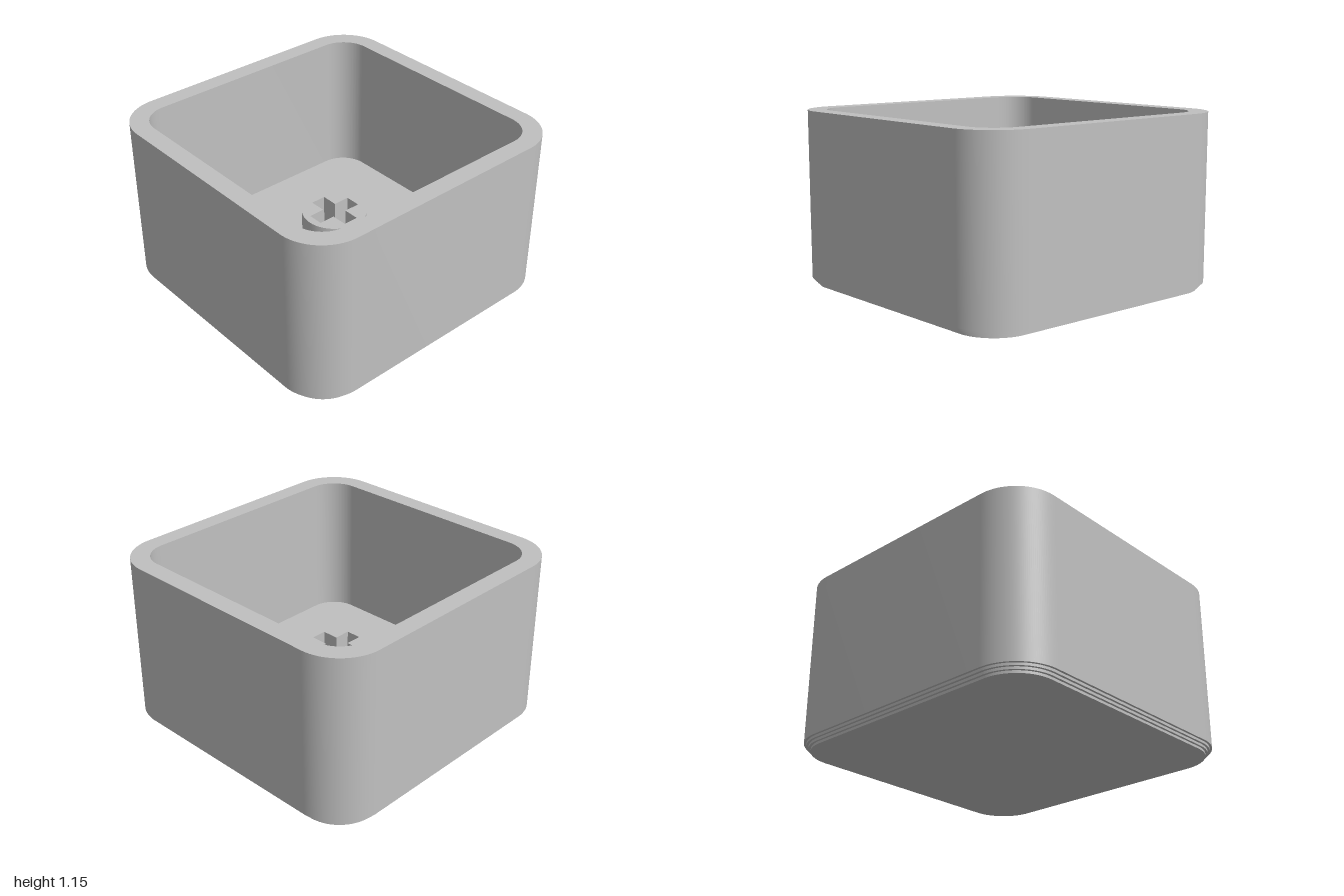
import * as THREE from 'three';
import { toCreasedNormals } from 'three/addons/utils/BufferGeometryUtils.js';

// Rounded square centred on the origin
function roundedSquare(half, r, Type = THREE.Shape) {
  const s = new Type();
  const k = half - r;
  s.moveTo(k, -half);
  s.absarc(k, -k, r, -Math.PI / 2, 0);
  s.absarc(k, k, r, 0, Math.PI / 2);
  s.absarc(-k, k, r, Math.PI / 2, Math.PI);
  s.absarc(-k, -k, r, Math.PI, Math.PI * 1.5);
  s.closePath();
  return s;
}

// Plus-shaped outline
function cross(reach, w) {
  return new THREE.Path([
    [w, w], [reach, w], [reach, -w], [w, -w], [w, -reach], [-w, -reach],
    [-w, -w], [-reach, -w], [-reach, w], [-w, w], [-w, reach], [w, reach],
  ].map(([x, y]) => new THREE.Vector2(x, y))).closePath();
}

export function createModel() {
  const group = new THREE.Group();
  group.name = 'keycap';
  const grey = new THREE.MeshStandardMaterial({ color: 0xc0c0c0 });
  grey.name = 'grey';

  // Extrude a plan shape upwards from y0 to y1
  const slab = (name, shape, y0, y1) => {
    const extruded = new THREE.ExtrudeGeometry(shape, {
      depth: y1 - y0, bevelEnabled: false, curveSegments: 20,
    });
    extruded.rotateX(-Math.PI / 2).translate(0, y0, 0);
    const mesh = new THREE.Mesh(toCreasedNormals(extruded, 0.5), grey);
    mesh.name = name;
    group.add(mesh);
  };

  const step = 0.016, base = 3 * step, floor = 0.19, top = 1.155;

  // Stepped chamfer under the base
  for (let i = 0; i < 3; i++) {
    const inset = 0.015 * (3 - i);
    slab(`baseStep${i + 1}`, roundedSquare(1 - inset, 0.3 - inset), i * step, (i + 1) * step);
  }

  // Outer walls with open top
  const wall = roundedSquare(1, 0.3);
  wall.holes.push(roundedSquare(0.88, 0.19, THREE.Path));
  slab('walls', wall, base, top);

  // Interior floor
  slab('floor', roundedSquare(0.88, 0.19), base, floor);

  // Central round stem with a cross-shaped socket
  const stem = new THREE.Shape().absarc(0, 0, 0.213, 0, Math.PI * 2);
  stem.holes.push(cross(0.163, 0.052));
  slab('stem', stem, floor, 0.5);

  return group;
}
